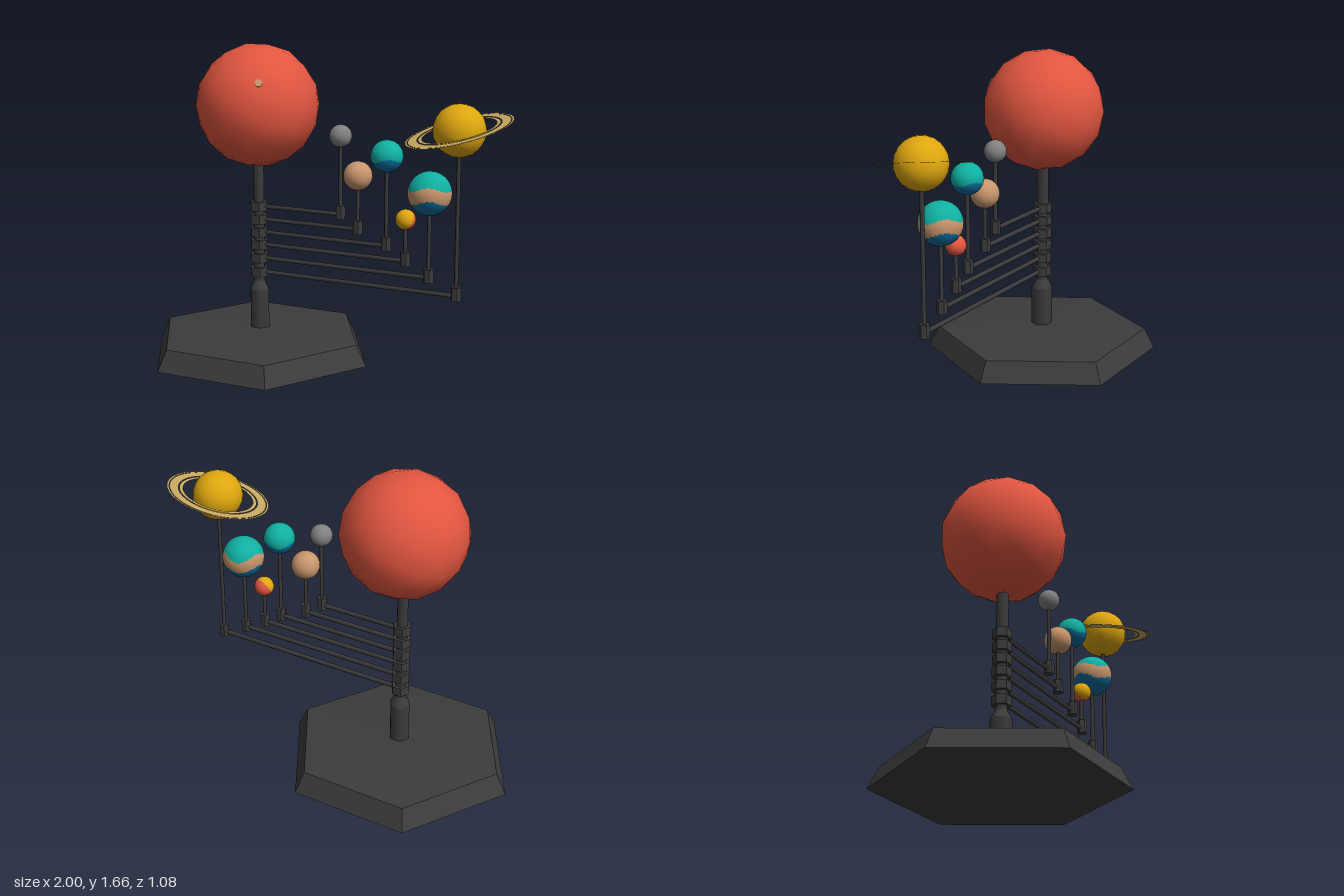
import * as THREE from 'three';

const mat = (name, color, side = THREE.FrontSide) => {
  const m = new THREE.MeshStandardMaterial({ color, side });
  m.name = name;
  return m;
};

export function createModel() {
  const root = new THREE.Group();
  root.name = 'orrery';
  const dark = mat('darkMetal', 0x3c3c3c);
  const red = mat('sunRed', 0xe25640);
  const tan = mat('tan', 0xc8966c);
  const teal = mat('teal', 0x10b0a2);
  const blue = mat('oceanBlue', 0x0b6c9c);
  const yellow = mat('gold', 0xdfa70f);
  const grey = mat('grey', 0x818181);
  const sand = mat('ringSand', 0xc9aa62, THREE.DoubleSide);
  const cx = -0.375;

  const add = (parent, name, geo, material, x = 0, y = 0, z = 0) => {
    const m = new THREE.Mesh(geo, material);
    m.name = name;
    m.position.set(x, y, z);
    parent.add(m);
    return m;
  };

  // Six-sided prism or frustum between two heights, corners on the x axis
  const hex = (rTop, rBottom, y0, y1, flat = false) => {
    let g = new THREE.CylinderGeometry(rTop, rBottom, y1 - y0, 6);
    g.rotateY(Math.PI / 2).translate(0, (y0 + y1) / 2, 0);
    if (flat) {
      g = g.toNonIndexed();
      g.computeVertexNormals();
    }
    return g;
  };

  // Ball whose faces are sorted into materials by a rule on direction
  const ball = (r, detail, rule, count) => {
    const g = new THREE.IcosahedronGeometry(r, detail);
    if (!rule) return g;
    const p = g.attributes.position;
    const buckets = Array.from({ length: count }, () => []);
    const c = new THREE.Vector3(), v = new THREE.Vector3();
    for (let i = 0; i < p.count; i += 3) {
      c.set(0, 0, 0);
      for (let k = 0; k < 3; k++) c.add(v.fromBufferAttribute(p, i + k));
      buckets[rule(c.normalize())].push(i, i + 1, i + 2);
    }
    g.setIndex(buckets.flat());
    let start = 0;
    buckets.forEach((b, i) => {
      g.addGroup(start, b.length, i);
      start += b.length;
    });
    return g;
  };

  // Base and central post
  add(root, 'base', hex(0.57, 0.625, 0, 0.11, true), dark, cx);
  add(root, 'baseTop', hex(0.05, 0.57, 0.11, 0.142, true), dark, cx);
  add(root, 'postFoot', hex(0.056, 0.056, 0.13, 0.35), dark, cx);
  add(root, 'postTaper', hex(0.03, 0.056, 0.35, 0.4), dark, cx);
  add(root, 'postShaft', hex(0.031, 0.031, 0.39, 1.08), dark, cx);

  // Sun with its small spot
  add(root, 'sun', ball(0.322, 2), red, cx, 1.34, 0);
  const dir = new THREE.Vector3(0.14, 0.15, 0.25).normalize();
  const spot = add(root, 'sunSpot', new THREE.CylinderGeometry(0.021, 0.021, 0.008, 6), tan);
  spot.position.set(cx, 1.34, 0).addScaledVector(dir, 0.315);
  spot.quaternion.setFromUnitVectors(new THREE.Vector3(0, 1, 0), dir);

  // Colour rules for the patterned planets
  const oceanRule = (d) => (d.y > -0.2 + 0.12 * Math.sin(3 * Math.atan2(d.x, d.z)) ? 0 : 1);
  const emberRule = (d) => (-0.3 * d.x + 0.5 * d.y + 0.8 * d.z > 0 ? 0 : 1);
  const bandRule = (d) => {
    const wave = 0.13 * Math.sin(3 * Math.atan2(d.x, d.z) + 0.6);
    if (d.y > 0.28 + wave) return 0;
    return d.y > -0.32 + wave ? 1 : 2;
  };

  const planets = [
    { name: 'greyPlanet', x: 0.1, y: 1.21, r: 0.058, arm: 0.803, m: grey },
    { name: 'tanPlanet', x: 0.197, y: 1.012, r: 0.075, arm: 0.733, m: tan },
    { name: 'oceanPlanet', x: 0.355, y: 1.125, r: 0.082, arm: 0.663, m: [teal, blue], rule: oceanRule },
    { name: 'emberPlanet', x: 0.46, y: 0.81, r: 0.052, arm: 0.595, m: [yellow, red], rule: emberRule },
    { name: 'bandedPlanet', x: 0.587, y: 0.955, r: 0.111, arm: 0.522, m: [teal, tan, blue], rule: bandRule },
    { name: 'ringedPlanet', x: 0.735, y: 1.28, r: 0.132, arm: 0.445, m: yellow },
  ];

  // Each planet has a collar on the post, an arm, a socket and an upright rod
  for (const p of planets) {
    const g = new THREE.Group();
    g.name = p.name + 'Assembly';
    root.add(g);
    add(g, 'collar', hex(0.049, 0.049, p.arm - 0.024, p.arm + 0.024, true), dark, cx);
    const len = p.x - cx;
    const arm = new THREE.CylinderGeometry(0.012, 0.012, len, 6).rotateZ(Math.PI / 2);
    add(g, 'arm', arm, dark, cx + len / 2, p.arm);
    add(g, 'socket', hex(0.027, 0.027, p.arm - 0.025, p.arm + 0.045, true), dark, p.x);
    add(g, 'rod', hex(0.011, 0.011, p.arm, p.y), dark, p.x);
    add(g, p.name, ball(p.r, p.rule ? 11 : 3, p.rule, Array.isArray(p.m) ? p.m.length : 1), p.m, p.x, p.y);
  }

  // Tilted rings
  const rings = new THREE.Group();
  rings.name = 'rings';
  rings.position.set(0.733, 1.28, 0);
  rings.quaternion.setFromUnitVectors(
    new THREE.Vector3(0, 1, 0), new THREE.Vector3(-0.21, 1, 0.165).normalize());
  root.add(rings);
  for (const [inner, outer] of [[0.187, 0.206], [0.212, 0.258], [0.261, 0.272]]) {
    add(rings, 'ring', new THREE.RingGeometry(inner, outer, 40).rotateX(-Math.PI / 2), sand);
  }
  return root;
}
